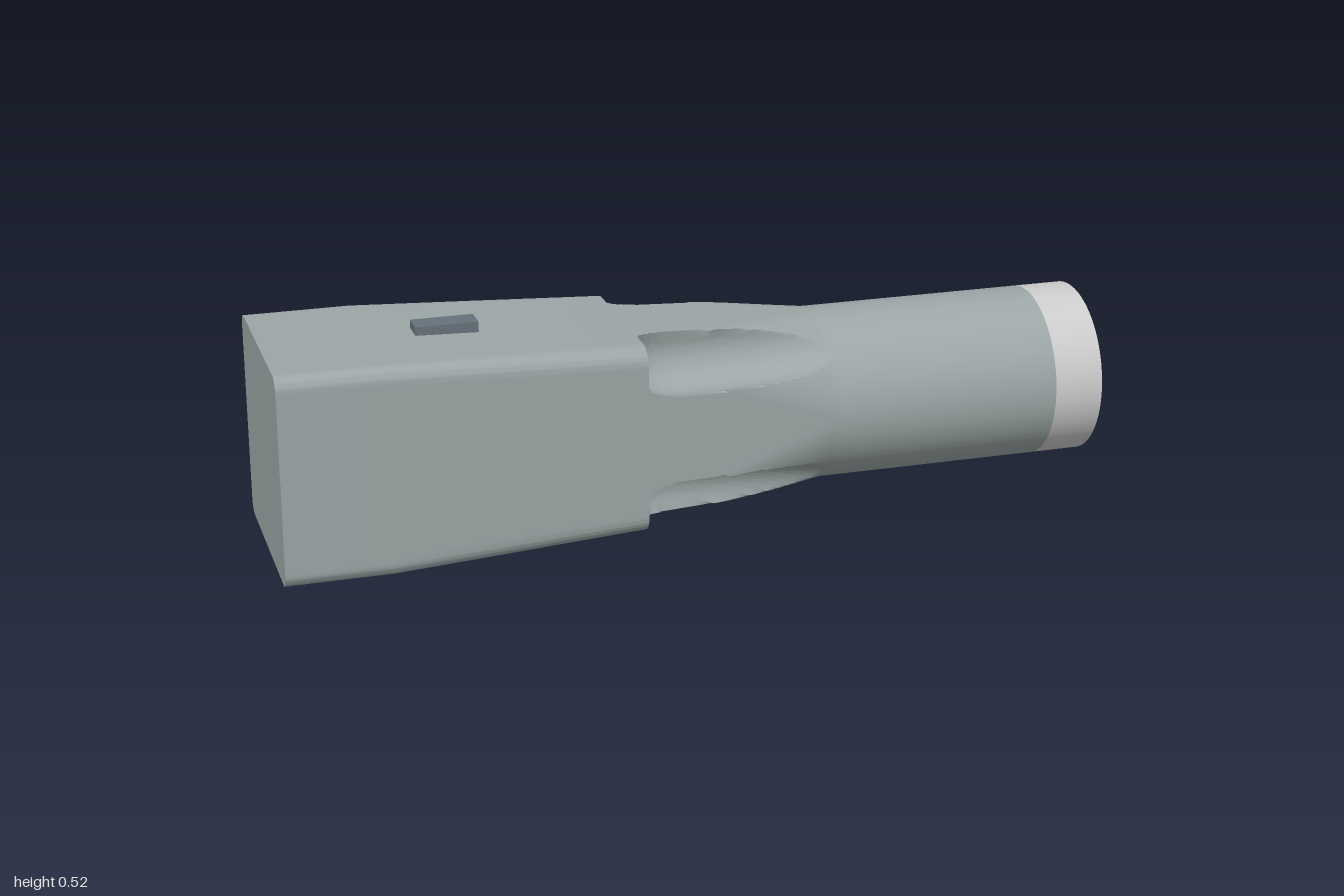
import * as THREE from 'three';
import { toCreasedNormals } from 'three/addons/utils/BufferGeometryUtils.js';

const CY = 0.25;            // height of the long axis
const NECK = 0.207;         // radius of the round neck
const SCOOP_START = -0.147, SCOOP_END = 0.33;
const SIDES = 360;
const { lerp, clamp } = THREE.MathUtils;

// Half width and corner radius of the rounded-square section at x
function section(x) {
  if (x < -0.75) return [0.25, 0.032];
  if (x < -0.15) {
    const t = (x + 0.75) / 0.6;
    return [lerp(0.25, 0.228, t), lerp(0.032, 0.045, t)];
  }
  const t = clamp((x + 0.15) / 0.47, 0, 1);
  const h = lerp(0.228, NECK, t);
  return [h, lerp(0.045, h, t)];
}

// Distance from the axis to a rounded square, d = angle from the diagonal
function squareRadius(h, c, d) {
  const a = Math.PI / 4 - Math.abs(d);
  const flat = h / Math.cos(a);
  if (flat * Math.sin(a) <= h - c) return flat;
  const m = (h - c) * Math.SQRT2;
  return m * Math.cos(d) + Math.sqrt(Math.max(0, c * c - (m * Math.sin(d)) ** 2));
}

// Near side of the round corner scoop, or Infinity where the ray misses it
function scoopRadius(x, d) {
  const s = clamp((x - SCOOP_START) / 0.09, 0, 1);
  const R = 0.06 + 0.025 * Math.sqrt(1 - (1 - s) ** 2);
  const t = (x - SCOOP_START) / (0.32 - SCOOP_START);
  const D = 0.257 + 0.035 * t ** 2.5;
  const k = R * R - (D * Math.sin(d)) ** 2;
  return k > 0 ? D * Math.cos(d) - Math.sqrt(k) : Infinity;
}

function bodyGeometry() {
  // Stations along the axis; the doubled one forms the scoop end wall
  const stations = [[-1, false], [-0.75, false], [-0.45, false], [SCOOP_START, false]];
  const steps = 56;
  for (let i = 0; i <= steps; i++) {
    const u = i / steps;
    stations.push([lerp(SCOOP_START, SCOOP_END, u ** 1.3), true]);
  }
  stations.push([0.88, false]);

  const pos = [], index = [];
  for (const [x, cut] of stations) {
    const [h, c] = section(x);
    for (let j = 0; j < SIDES; j++) {
      const a = (j / SIDES) * Math.PI * 2;
      const d = (a % (Math.PI / 2)) - Math.PI / 4;
      let r = squareRadius(h, c, d);
      if (cut) r = Math.min(r, scoopRadius(x, d));
      pos.push(x, CY + r * Math.sin(a), r * Math.cos(a));
    }
  }
  for (let i = 0; i < stations.length - 1; i++) {
    for (let j = 0; j < SIDES; j++) {
      const p = i * SIDES + j, q = i * SIDES + (j + 1) % SIDES;
      index.push(p, p + SIDES, q, q, p + SIDES, q + SIDES);
    }
  }
  // Flat square end
  const center = pos.length / 3;
  pos.push(-1, CY, 0);
  for (let j = 0; j < SIDES; j++) index.push(center, j, (j + 1) % SIDES);

  const g = new THREE.BufferGeometry();
  g.setAttribute('position', new THREE.Float32BufferAttribute(pos, 3));
  g.setIndex(index);
  return toCreasedNormals(g, 0.5);
}

export function createModel() {
  const group = new THREE.Group();
  const add = (name, geometry, color, x, y) => {
    const mesh = new THREE.Mesh(geometry, new THREE.MeshStandardMaterial({ color }));
    mesh.name = name;
    mesh.position.set(x, y, 0);
    group.add(mesh);
  };

  // Square grip lofted into a round neck, with four corner scoops
  add('body', bodyGeometry(), 0x9ca6a6, 0, 0);

  // Pale round end
  const tip = new THREE.CylinderGeometry(NECK, NECK, 0.12, 96);
  tip.rotateZ(-Math.PI / 2);
  add('endCap', tip, 0xcccccc, 0.94, CY);

  // Small raised tab on top
  add('topTab', new THREE.BoxGeometry(0.148, 0.035, 0.06), 0x66727a, -0.57, 0.4985);

  return group;
}
